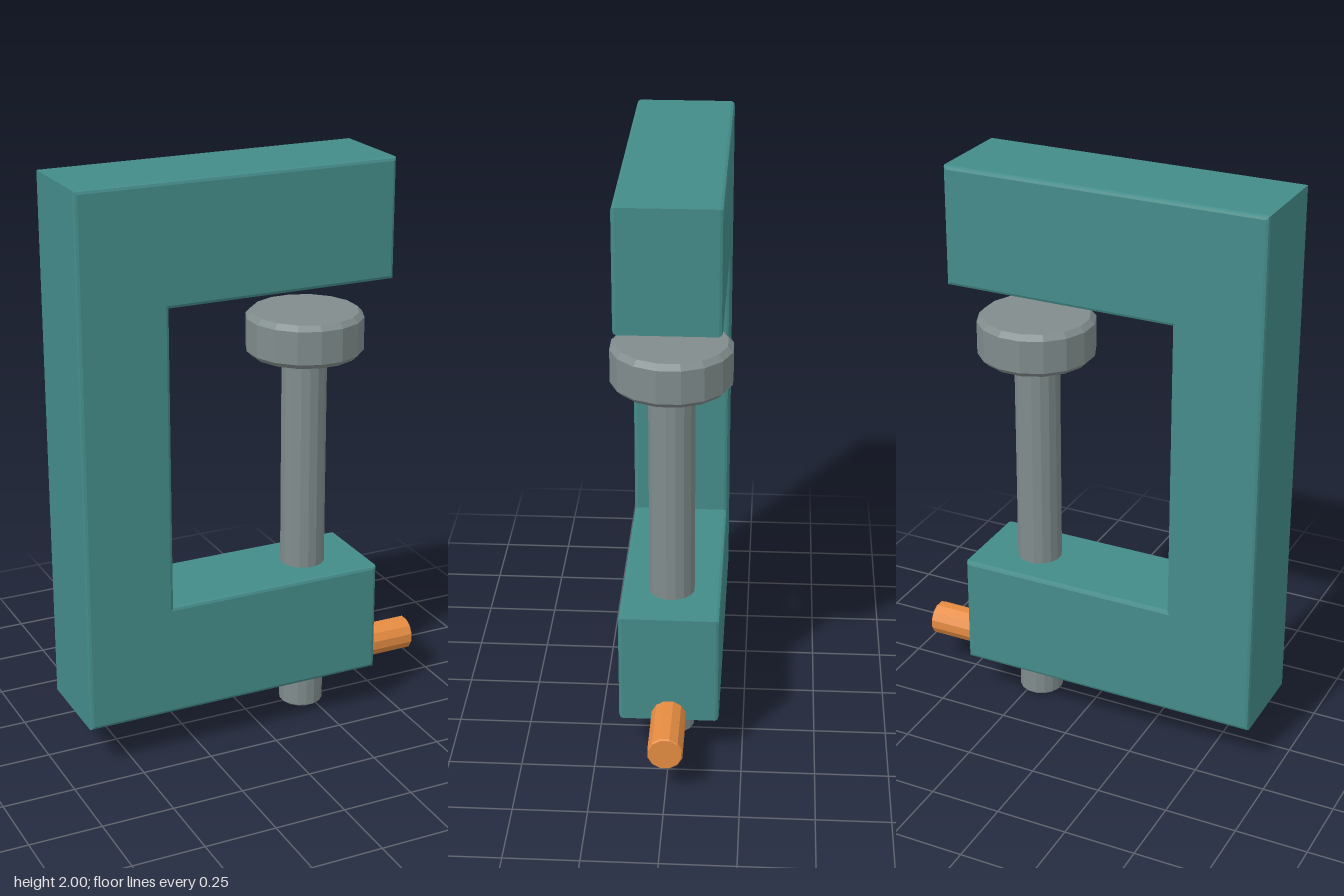
import * as THREE from 'three';

const mat = (color) => new THREE.MeshStandardMaterial({ color, flatShading: true });

// Faceted solid of revolution with chamfered rims, running from y0 to y1
function chamferedRod(name, radius, y0, y1, chamfer, sides, material) {
  const profile = [
    [0, y0], [radius - chamfer, y0], [radius, y0 + chamfer],
    [radius, y1 - chamfer], [radius - chamfer, y1], [0, y1],
  ].map(([r, y]) => new THREE.Vector2(r, y));
  const geometry = new THREE.LatheGeometry(profile, sides);
  geometry.rotateY(Math.PI / sides);
  const mesh = new THREE.Mesh(geometry, material);
  mesh.name = name;
  return mesh;
}

export function createModel() {
  const clamp = new THREE.Group();
  clamp.name = 'clamp';
  const teal = mat(0x448c8a);
  const steel = mat(0x818c8c);
  const orange = mat(0xe58c42);

  // C-shaped frame with a narrow bevel
  const outline = new THREE.Shape([
    [-0.655, 0.155], [0.43, 0.155], [0.43, 0.55], [-0.345, 0.55],
    [-0.345, 1.59], [0.465, 1.59], [0.465, 2], [-0.655, 2],
  ].map(([x, y]) => new THREE.Vector2(x, y)));
  const bevel = 0.012;
  const halfDepth = 0.17;
  const frameGeometry = new THREE.ExtrudeGeometry(outline, {
    depth: 2 * (halfDepth - bevel), bevelEnabled: true, bevelSegments: 2,
    bevelSize: bevel, bevelThickness: bevel, bevelOffset: -bevel,
  });
  frameGeometry.translate(0, 0, bevel - halfDepth);
  const frame = new THREE.Mesh(frameGeometry, teal);
  frame.name = 'frame';
  clamp.add(frame);

  // Screw passing through the lower arm, with its pressure pad
  const screw = new THREE.Group();
  screw.name = 'screw';
  screw.position.x = 0.222;
  screw.add(
    chamferedRod('screwShaft', 0.078, 0, 1.36, 0.006, 16, steel),
    chamferedRod('pressurePad', 0.202, 1.32, 1.47, 0.018, 16, steel),
  );
  clamp.add(screw);

  // Sliding handle bar
  const handle = chamferedRod('handleBar', 0.06, -0.43, 0.43, 0.004, 12, orange);
  handle.rotation.z = -Math.PI / 2;
  handle.position.set(0.223, 0.17, 0);
  clamp.add(handle);

  return clamp;
}
